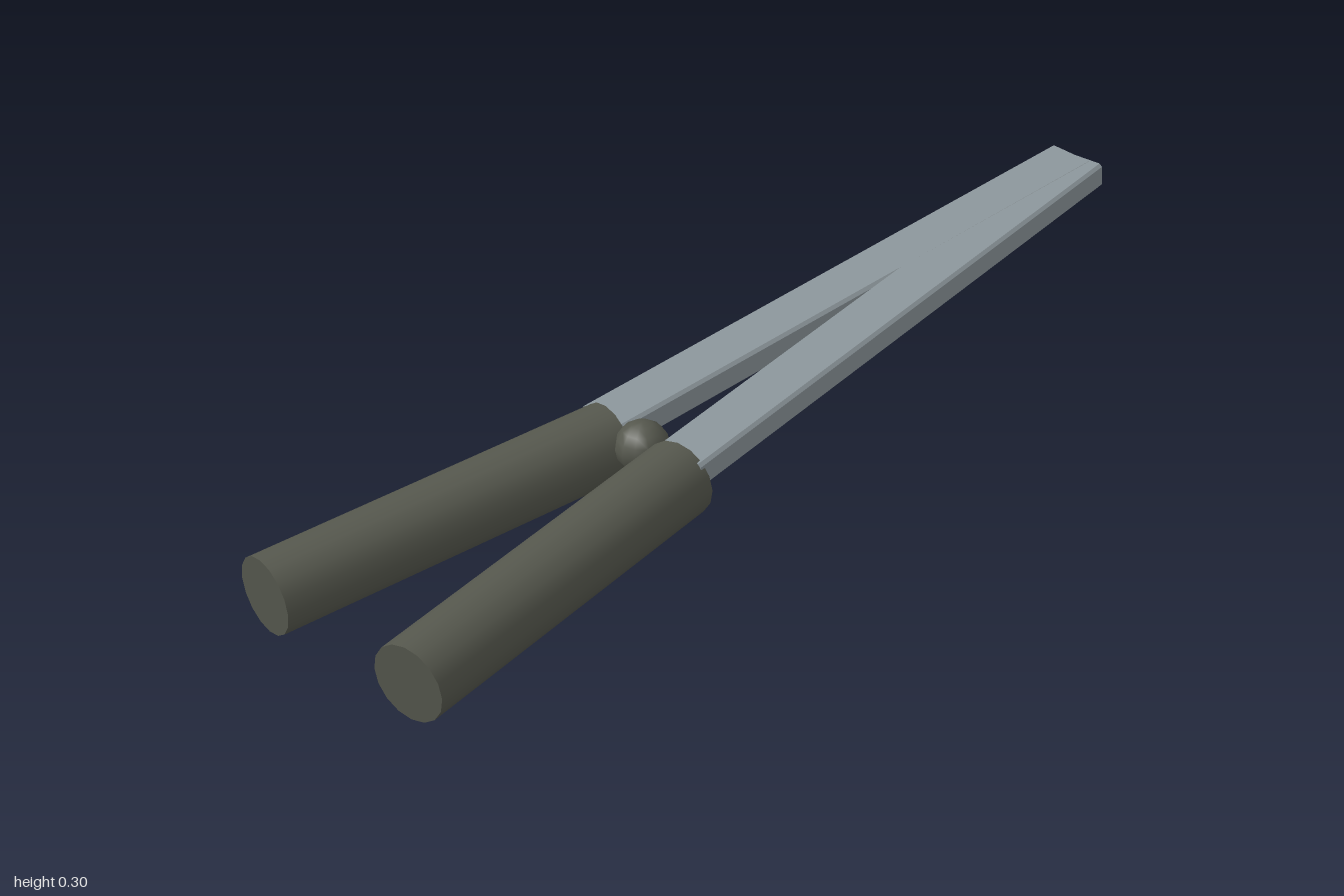
import * as THREE from 'three';

export function createModel() {
  const model = new THREE.Group();
  model.name = 'shears';
  const steel = new THREE.MeshStandardMaterial({ color: 0x8a9499 });
  steel.name = 'steel grey';
  const grip = new THREE.MeshStandardMaterial({ color: 0x55574d });
  grip.name = 'dark grip';

  // Places a part that runs along its own +z from one point towards another
  function addAlong(name, geometry, material, from, to) {
    const mesh = new THREE.Mesh(geometry, material);
    mesh.name = name;
    mesh.position.copy(from);
    mesh.lookAt(to);
    model.add(mesh);
  }

  // Bar section with chamfered long edges
  const w = 0.055, h = 0.0265, c = 0.006;
  const section = new THREE.Shape([
    [w - c, -h], [w, -h + c], [w, h - c], [w - c, h],
    [-w + c, h], [-w, h - c], [-w, -h + c], [-w + c, -h],
  ].map(([x, y]) => new THREE.Vector2(x, y)));

  for (const side of [1, -1]) {
    const label = side > 0 ? 'left' : 'right';

    // Blade: a long bar crossing its twin towards the tip
    const heel = new THREE.Vector3(side * 0.1, 0.143, 0.255);
    const tip = new THREE.Vector3(side * 0.011, 0.271, -0.994);
    const blade = new THREE.ExtrudeGeometry(section, { depth: heel.distanceTo(tip), bevelEnabled: false });
    addAlong(label + 'Blade', blade, steel, heel, tip);

    // Handle: a round grip splayed outwards and down
    const neck = new THREE.Vector3(side * 0.094, 0.114, 0.248);
    const end = new THREE.Vector3(side * 0.19, 0.077, 0.99);
    const length = neck.distanceTo(end);
    const handle = new THREE.CylinderGeometry(0.076, 0.076, length, 16);
    handle.rotateX(Math.PI / 2).translate(0, 0, length / 2);
    addAlong(label + 'Handle', handle, grip, neck, end);
  }

  // Pivot ball between the handles
  const pivot = new THREE.Mesh(new THREE.SphereGeometry(0.052, 12, 8), grip);
  pivot.name = 'pivot';
  pivot.position.set(0, 0.142, 0.25);
  model.add(pivot);

  return model;
}
